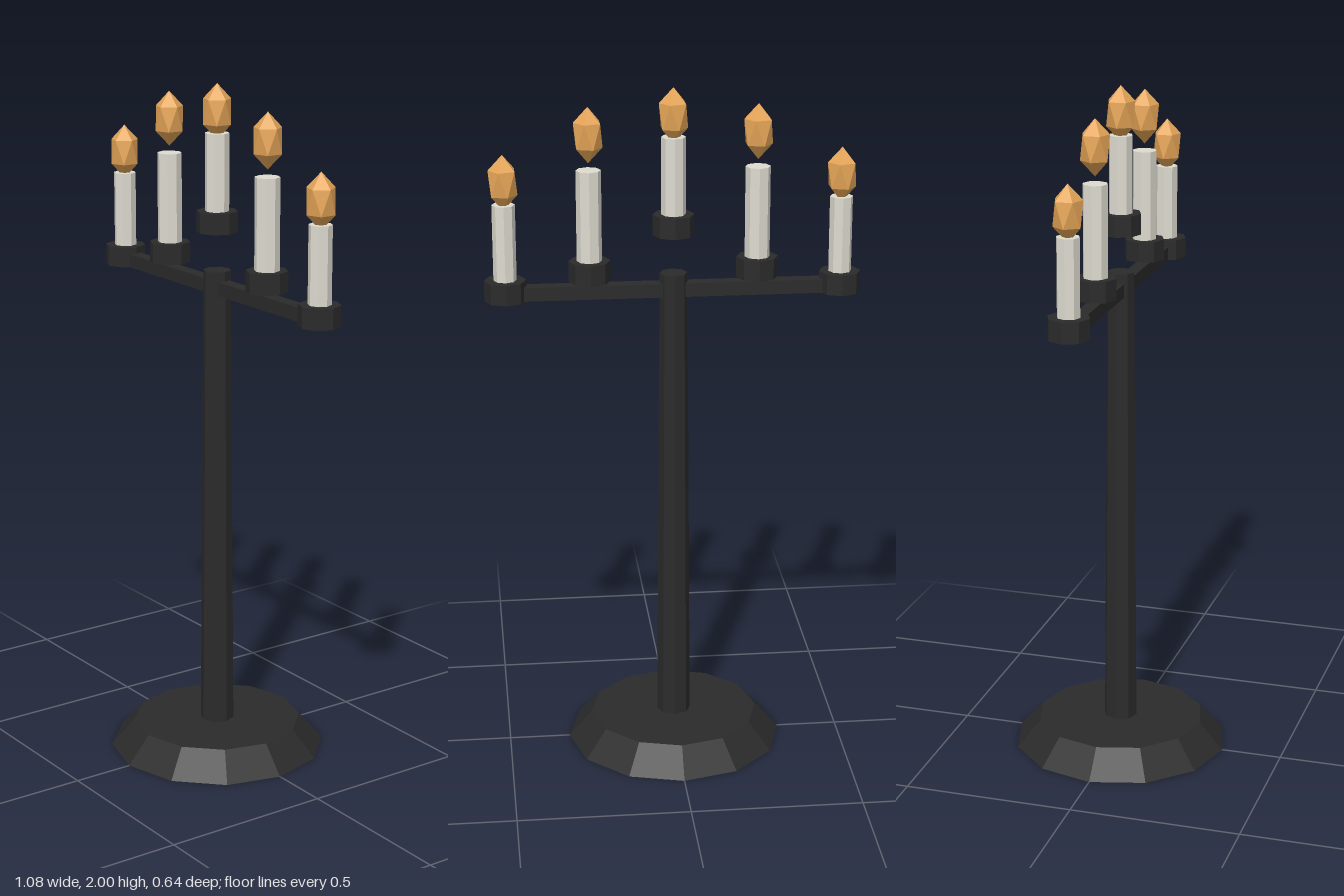
import * as THREE from 'three';

export function createModel() {
  const model = new THREE.Group();
  model.name = 'candelabra';

  const material = (name, color) => {
    const m = new THREE.MeshStandardMaterial({ color, flatShading: true });
    m.name = name;
    return m;
  };
  const iron = material('blackIron', 0x2b2b2b);
  const wax = material('paleWax', 0xdedbd0);
  const fire = material('amberFlame', 0xe5a557);

  const add = (parent, name, geometry, mat, y) => {
    const mesh = new THREE.Mesh(geometry, mat);
    mesh.name = name;
    mesh.position.y = y;
    parent.add(mesh);
    return mesh;
  };
  // Upright tapered prism standing between two heights
  const prism = (parent, name, rTop, rBottom, y0, y1, sides, mat) =>
    add(parent, name, new THREE.CylinderGeometry(rTop, rBottom, y1 - y0, sides), mat, (y0 + y1) / 2);

  // Stand
  prism(model, 'base', 0.25, 0.32, 0, 0.08, 12, iron);
  prism(model, 'pole', 0.04, 0.05, 0.08, 1.465, 8, iron);
  add(model, 'crossArm', new THREE.BoxGeometry(0.96, 0.04, 0.04), iron, 1.417);

  // Flame: an icosahedron turned to stand on a vertex, then stretched upwards
  const flameGeometry = new THREE.IcosahedronGeometry(1, 0);
  flameGeometry.rotateZ(-Math.atan(2 / (1 + Math.sqrt(5))));
  flameGeometry.scale(0.046, 0.08, 0.046);

  // Each candle: x, cup bottom, wax top, wax radius, flame centre
  const outer = [1.397, 1.677, 0.033, 1.74];
  const inner = [1.447, 1.77, 0.036, 1.87];
  const middle = [1.577, 1.86, 0.035, 1.92];
  const candles = [
    ['rightOuterCandle', -0.48, outer],
    ['rightInnerCandle', -0.24, inner],
    ['middleCandle', 0, middle],
    ['leftInnerCandle', 0.24, inner],
    ['leftOuterCandle', 0.48, outer],
  ];
  for (const [name, x, [cupY, waxTop, radius, flameY]] of candles) {
    const candle = new THREE.Group();
    candle.name = name;
    candle.position.x = x;
    prism(candle, 'cup', 0.06, 0.06, cupY, cupY + 0.06, 8, iron);
    prism(candle, 'waxStick', radius, radius, cupY + 0.03, waxTop, 8, wax);
    add(candle, 'flame', flameGeometry, fire, flameY);
    model.add(candle);
  }

  return model;
}
